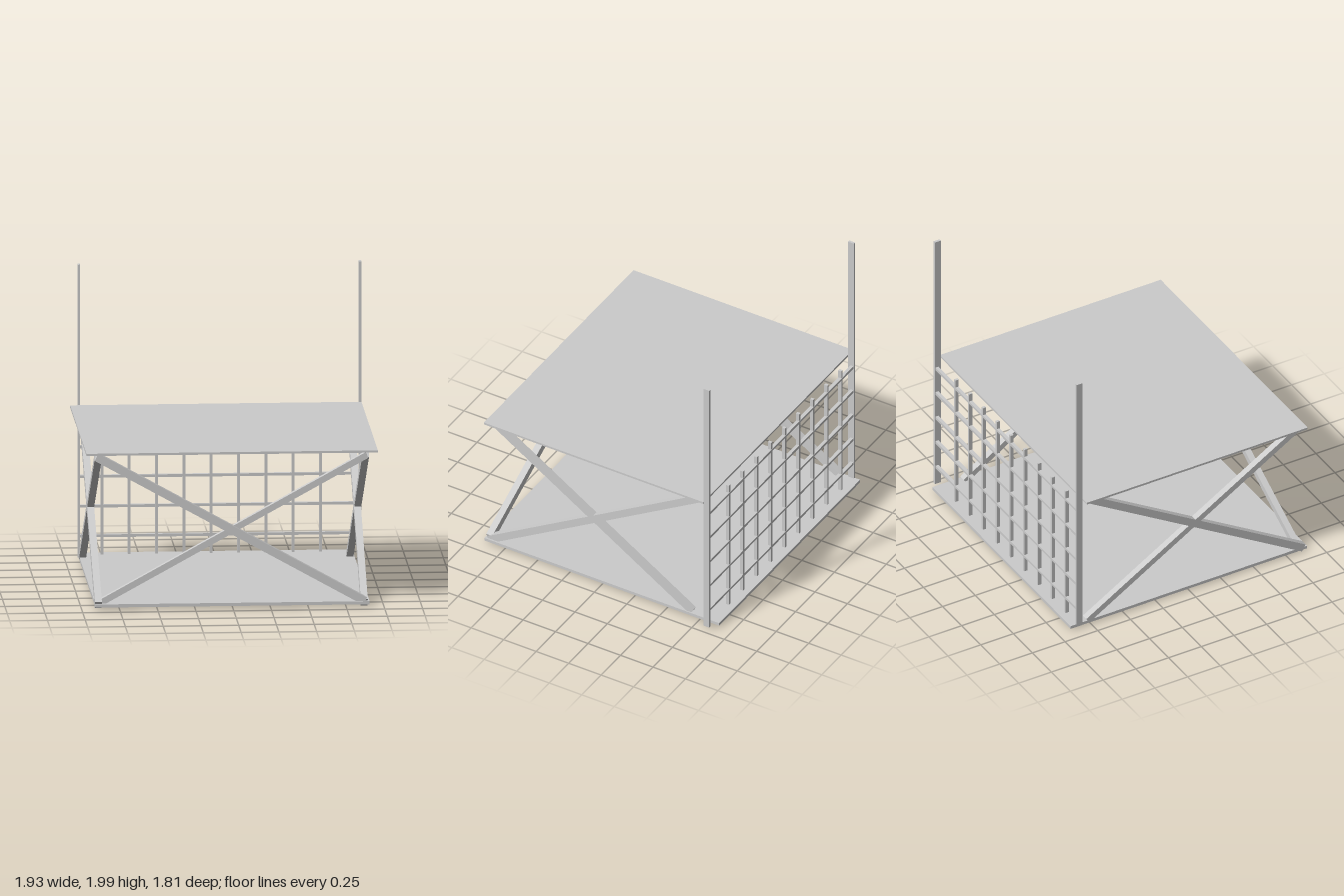
import * as THREE from 'three';

const material = new THREE.MeshStandardMaterial({ color: 0xcccccc, flatShading: true });

// Box given by its minimum and maximum on each axis
function block(name, [x0, x1], [y0, y1], [z0, z1]) {
  const mesh = new THREE.Mesh(new THREE.BoxGeometry(x1 - x0, y1 - y0, z1 - z0), material);
  mesh.name = name;
  mesh.position.set((x0 + x1) / 2, (y0 + y1) / 2, (z0 + z1) / 2);
  return mesh;
}

// Square-ended beam between two points; depth is measured along the outward axis
function beam(name, from, to, width, depth, outward) {
  const a = new THREE.Vector3(...from);
  const b = new THREE.Vector3(...to);
  const along = b.clone().sub(a);
  const mesh = new THREE.Mesh(new THREE.BoxGeometry(along.length(), width, depth), material);
  const dir = along.normalize();
  const across = new THREE.Vector3(...outward).cross(dir).normalize();
  const out = dir.clone().cross(across);
  mesh.quaternion.setFromRotationMatrix(new THREE.Matrix4().makeBasis(dir, across, out));
  mesh.position.copy(a).add(b).multiplyScalar(0.5);
  mesh.name = name;
  return mesh;
}

export function createModel() {
  const model = new THREE.Group();
  model.name = 'shelfUnit';

  // Shelves
  model.add(block('topShelf', [-0.967, 0.962], [1.04, 1.055], [-0.815, 0.873]));
  model.add(block('bottomShelf', [-0.91, 0.906], [0.025, 0.046], [-0.905, 0.902]));

  // Tall rear posts
  model.add(block('rightPost', [-0.916, -0.9], [0.03, 2], [-0.862, -0.817]));
  model.add(block('leftPost', [0.945, 0.963], [0.03, 2], [-0.862, -0.817]));

  // Rear lattice
  const lattice = new THREE.Group();
  lattice.name = 'rearLattice';
  for (let i = 0; i < 9; i++) {
    const x = -0.755 + i * 0.181;
    lattice.add(block('verticalBar', [x - 0.009, x + 0.009], [0.045, 1.036], [-0.858, -0.834]));
  }
  for (let i = 0; i < 5; i++) {
    const y = 0.17 + i * 0.2;
    lattice.add(block('horizontalBar', [-0.908, 0.95], [y - 0.009, y + 0.009], [-0.86, -0.836]));
  }
  model.add(lattice);

  // Front cross braces
  const front = [0, 0, 1];
  model.add(beam('frontBraceFalling', [-0.9, 1.03, 0.847], [0.875, 0.045, 0.876], 0.054, 0.046, front));
  model.add(beam('frontBraceRising', [-0.88, 0.045, 0.842], [0.89, 1.022, 0.842], 0.042, 0.044, front));

  // Side cross braces
  const side = [1, 0, 0];
  model.add(beam('rightBraceRising', [-0.889, 0.038, 0.876], [-0.889, 1.017, -0.745], 0.054, 0.046, side));
  model.add(beam('rightBraceFalling', [-0.889, 1.022, 0.835], [-0.889, 0.045, -0.775], 0.042, 0.046, side));
  model.add(beam('leftBraceRising', [0.871, 0.034, 0.876], [0.882, 1.017, -0.745], 0.054, 0.046, side));
  model.add(beam('leftBraceFalling', [0.882, 1.022, 0.835], [0.875, 0.045, -0.685], 0.04, 0.046, side));

  return model;
}
